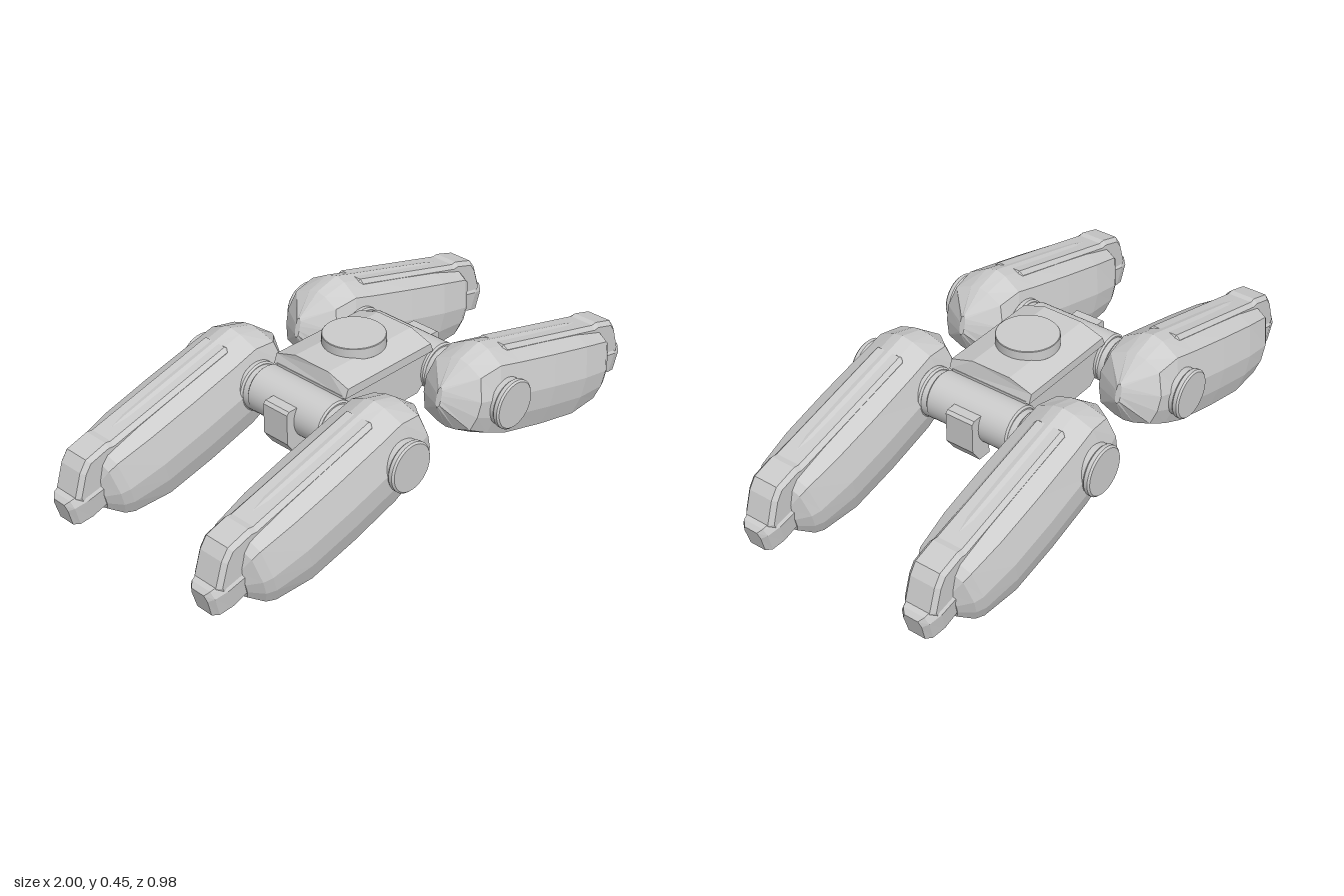
import * as THREE from 'three';

const flat = new THREE.MeshStandardMaterial({ color: 0xcccccc, flatShading: true });
const smooth = new THREE.MeshStandardMaterial({ color: 0xcccccc });

function part(name, geometry, material, x = 0, y = 0, z = 0) {
  const mesh = new THREE.Mesh(geometry, material);
  mesh.name = name;
  mesh.position.set(x, y, z);
  return mesh;
}

// Skin a list of rings (equal point counts, counter-clockwise about +x) and close both ends.
function loft(rings) {
  const n = rings[0].length, index = [];
  for (let i = 0; i < rings.length - 1; i++) {
    for (let j = 0; j < n; j++) {
      const k = (j + 1) % n, a = i * n + j, b = i * n + k;
      index.push(a, b, b + n, a, b + n, a + n);
    }
  }
  const last = (rings.length - 1) * n;
  for (let j = 1; j < n - 1; j++) index.push(0, j + 1, j, last, last + j, last + j + 1);
  const geometry = new THREE.BufferGeometry();
  geometry.setAttribute('position', new THREE.Float32BufferAttribute(rings.flat(2), 3));
  geometry.setIndex(index);
  const out = geometry.toNonIndexed();
  out.computeVertexNormals();
  return out;
}

// Half outline [height, width] from top to bottom, mirrored into a full ring.
function ring(x, top, bottom, width, half) {
  const middle = half.slice(1, -1).reverse().map(([v, w]) => [v, -w]);
  return [...half, ...middle].map(([v, w]) => [x, v > 0 ? v * top : -v * bottom, w * width]);
}

// Shape in x-y, extruded evenly about z = 0.
function slab(points, depth, bevel = 0) {
  const shape = new THREE.Shape(points.map(([x, y]) => new THREE.Vector2(x, y)));
  const geometry = new THREE.ExtrudeGeometry(shape, {
    depth: depth - 2 * bevel, bevelEnabled: bevel > 0, bevelSize: bevel,
    bevelThickness: bevel, bevelOffset: -bevel, bevelSegments: 1,
  });
  return geometry.translate(0, 0, -depth / 2 + bevel);
}

// Cylinder along z with small rounded rims.
function drum(radius, length, rim = 0.006) {
  const h = length / 2;
  const profile = [[0, -h], [radius - rim, -h], [radius - rim, -h], [radius, -h + rim], [radius, -h + rim],
    [radius, h - rim], [radius, h - rim], [radius - rim, h], [radius - rim, h], [0, h]];
  return new THREE.LatheGeometry(profile.map(([x, y]) => new THREE.Vector2(x, y)), 40).rotateX(Math.PI / 2);
}

const hull = [[1, 0], [0.94, 0.3], [0.73, 0.8], [0.1, 1], [-0.35, 0.97], [-0.78, 0.82], [-0.95, 0.32], [-1, 0]];

function createLeg() {
  const leg = new THREE.Group();
  leg.name = 'leg';
  // armoured shell: station along the leg, top, bottom, half width
  const stations = [
    [-0.198, 0.03, -0.04, 0.01],
    [-0.128, 0.12, -0.121, 0.12],
    [-0.045, 0.169, -0.145, 0.133],
    [0.055, 0.168, -0.166, 0.137],
    [0.25, 0.168, -0.168, 0.14],
    [0.437, 0.167, -0.163, 0.137],
    [0.575, 0.16, -0.125, 0.122],
    [0.605, 0.14, -0.11, 0.108],
    [0.64, 0.08, -0.07, 0.065],
  ];
  leg.add(part('legShell', loft(stations.map((s) => ring(...s, hull))), flat));

  // rail along the top that folds down over the outer end
  const rail = [[0, 0.12], [0.03, 0.164], [0.54, 0.164], [0.56, 0.172], [0.645, 0.169], [0.68, 0.14],
    [0.728, 0.066], [0.715, -0.02], [0.6, -0.03], [0.56, 0.12]];
  leg.add(part('topRail', slab(rail, 0.12, 0.014), flat));

  // toe block
  const toeHalf = [[1, 0], [1, 0.75], [0.6, 1], [-1, 0.9], [-1, 0]];
  leg.add(part('toe', loft([
    [0.6, 0.06, -0.028, 0.066],
    [0.7, 0.07, -0.032, 0.066],
    [0.745, 0.066, -0.034, 0.053],
    [0.762, 0.056, -0.03, 0.035],
  ].map((s) => ring(...s, toeHalf))), flat));

  leg.position.set(0.25, 0.275, 0);
  leg.rotation.z = -THREE.MathUtils.degToRad(15);
  return leg;
}

function createSide() {
  const side = new THREE.Group();
  side.name = 'sideAssembly';
  side.add(part('axleTube', drum(0.085, 0.33), smooth, 0.25, 0.286, 0));
  for (const s of [1, -1]) {
    const leg = createLeg();
    leg.position.z = 0.325 * s;
    side.add(leg);
    side.add(part('axleNeck', drum(0.081, 0.07), smooth, 0.25, 0.279, 0.18 * s));
    side.add(part('axleCollar', drum(0.088, 0.026), smooth, 0.25, 0.28, 0.2 * s));
    side.add(part('hubDrum', drum(0.083, 0.06), smooth, 0.25, 0.275, 0.44 * s));
    side.add(part('hubCap', drum(0.088, 0.025), smooth, 0.25, 0.275, 0.476 * s));
  }
  // clip on the outer face of the tube
  const clip = [[0.28, 0.165], [0.33, 0.165], [0.365, 0.215], [0.365, 0.325], [0.355, 0.335], [0.28, 0.335]];
  side.add(part('sideClip', slab(clip, 0.108), flat));
  return side;
}

export function createModel() {
  const model = new THREE.Group();
  model.name = 'walkerLegs';

  // body between the two axle tubes
  model.add(part('bodyBlock', slab([[-0.15, 0.22], [0.15, 0.22], [0.21, 0.27], [0.21, 0.37], [-0.21, 0.37],
    [-0.21, 0.27]], 0.3), flat));

  // roof plate with sloped front and back
  const plate = slab([[-0.163, 0.365], [0.163, 0.365], [0.163, 0.397], [0.075, 0.425], [-0.075, 0.425],
    [-0.163, 0.397]], 0.42).rotateY(Math.PI / 2);
  const p = plate.attributes.position;
  for (let i = 0; i < p.count; i++) if (p.getY(i) > 0.38) p.setX(i, p.getX(i) * 0.94);
  plate.computeVertexNormals();
  model.add(part('roofPlate', plate, flat));

  // round mount on the roof
  model.add(part('turretMount', drum(0.108, 0.042, 0.002).rotateX(Math.PI / 2), smooth, 0, 0.437, 0));

  const left = createSide();
  const right = createSide();
  right.rotation.y = Math.PI;
  model.add(left, right);
  return model;
}
